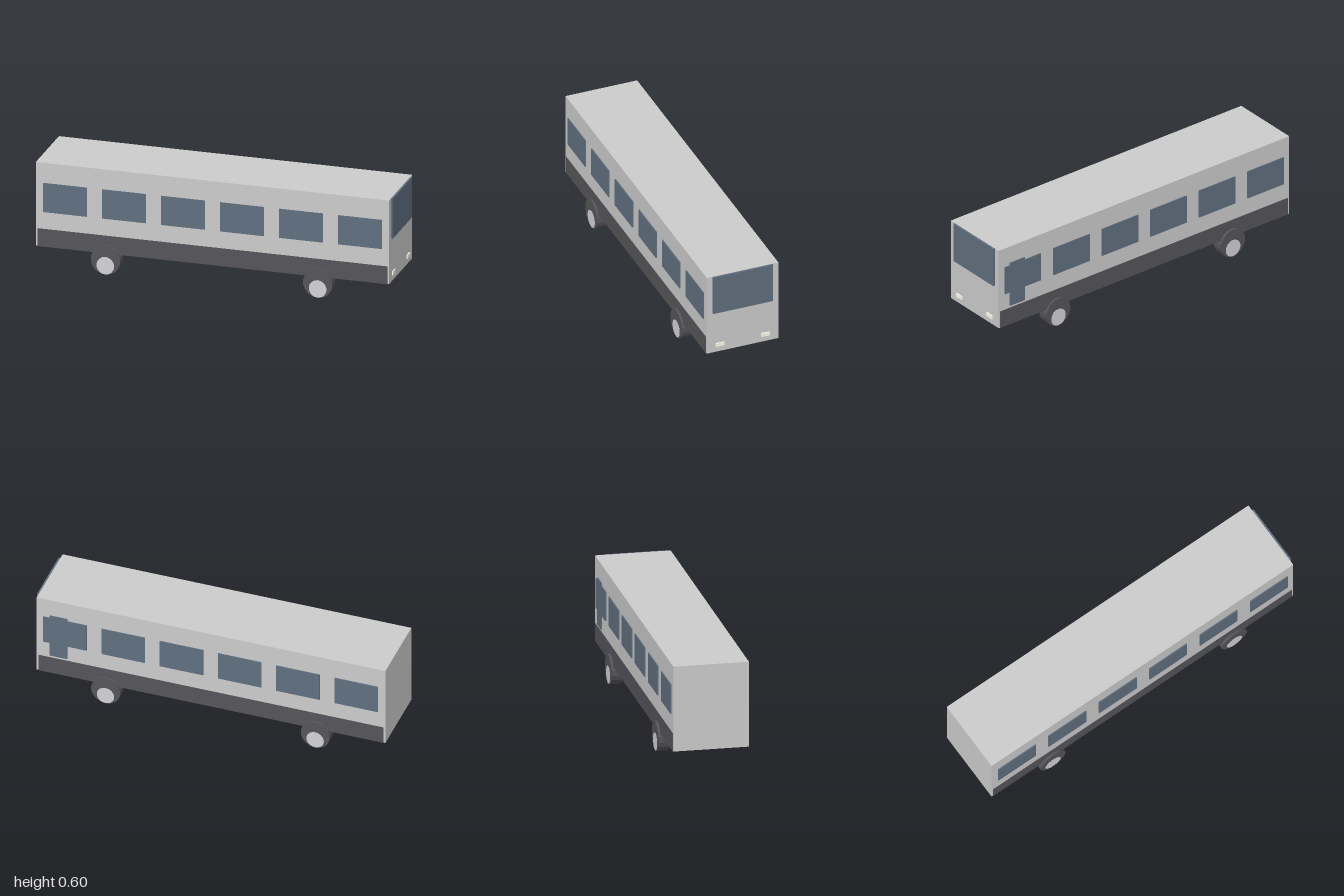
import * as THREE from 'three';

const mat = (color) => new THREE.MeshStandardMaterial({ color, flatShading: true });

export function createModel() {
  const bus = new THREE.Group();
  bus.name = 'bus';
  const grey = mat(0xcccccc);
  const dark = mat(0x55555a);
  const glass = mat(0x606f7e);
  const metal = mat(0xd2d2d8);
  const lamp = mat(0xfffceb);

  // Box given by its minimum and maximum on each axis
  function box(name, material, [x0, x1], [y0, y1], [z0, z1]) {
    const mesh = new THREE.Mesh(new THREE.BoxGeometry(x1 - x0, y1 - y0, z1 - z0), material);
    mesh.position.set((x0 + x1) / 2, (y0 + y1) / 2, (z0 + z1) / 2);
    mesh.name = name;
    bus.add(mesh);
  }

  // Body shell and the dark skirt standing slightly proud of its sides
  box('body', grey, [-1, 0.99], [0.118, 0.598], [-0.208, 0.208]);
  box('skirt', dark, [-0.99, 0.98], [0.117, 0.219], [-0.21, 0.21]);

  // Windscreen and headlights on the driving end
  box('windscreen', glass, [0.98, 1], [0.367, 0.597], [-0.174, 0.174]);
  for (const z of [-0.132, 0.132]) {
    box('headlight', lamp, [0.98, 0.996], [0.151, 0.173], [z - 0.025, z + 0.025]);
  }

  // Six windows along each side
  for (const side of [-1, 1]) {
    for (let i = 0; i < 6; i++) {
      const x = -0.835 + i * 0.3325;
      const z = side * 0.208;
      box('sideWindow', glass, [x - 0.124, x + 0.124], [0.317, 0.483], [z - 0.006, z + 0.006]);
    }
  }

  // Narrow door pane over the foremost window of one side
  box('door', glass, [0.815, 0.915], [0.233, 0.498], [-0.2135, -0.2]);

  // Wheels, each with a hub disc showing on both faces
  const tyreGeo = new THREE.CylinderGeometry(0.083, 0.083, 0.061, 18).rotateX(Math.PI / 2);
  const hubGeo = new THREE.CylinderGeometry(0.05, 0.05, 0.063, 18).rotateX(Math.PI / 2);
  for (const x of [-0.604, 0.592]) {
    for (const z of [-0.1915, 0.1915]) {
      const wheel = new THREE.Group();
      wheel.name = 'wheel';
      const tyre = new THREE.Mesh(tyreGeo, dark);
      tyre.name = 'tyre';
      tyre.position.y = 0.083;
      const hub = new THREE.Mesh(hubGeo, metal);
      hub.name = 'hub';
      hub.position.y = 0.0515;
      wheel.add(tyre, hub);
      wheel.position.set(x, 0, z);
      bus.add(wheel);
    }
  }
  return bus;
}
